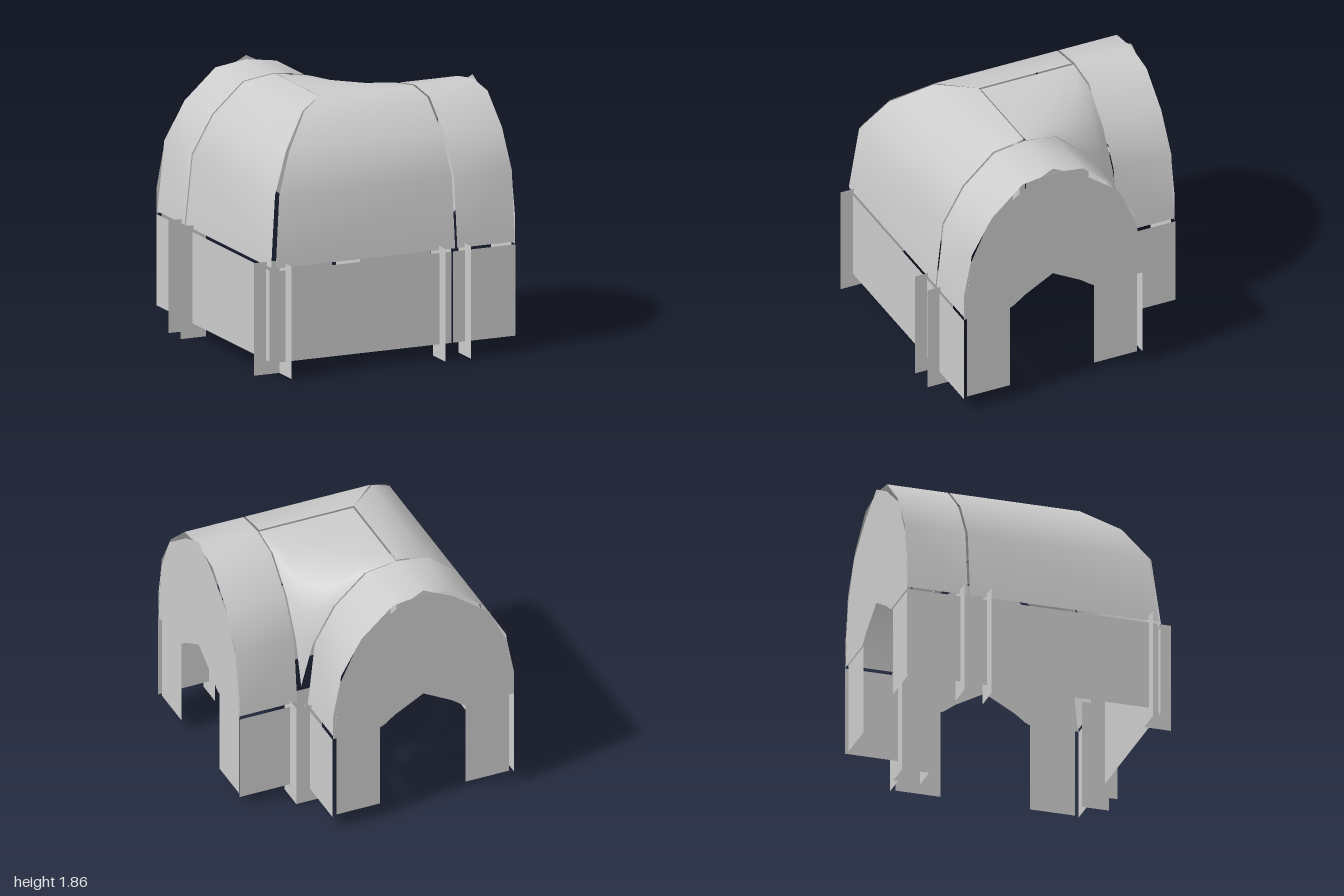
import * as THREE from 'three';

const material = new THREE.MeshStandardMaterial({ color: 0xcccccc, side: THREE.DoubleSide });
const AXIS = 0.205;   // distance of each vault's ridge line from the centre

// Half profile of the vault, from ridge to eave: [offset from ridge, height]
const PROFILE = [[0, 1.825], [0.24, 1.79], [0.48, 1.575], [0.64, 1.3], [0.695, 0.79]];

function add(parent, name, geometry) {
  const mesh = new THREE.Mesh(geometry, material);
  mesh.name = name;
  parent.add(mesh);
  return mesh;
}

// Surface through rows of points, all rows of equal length
function loft(rows) {
  const n = rows[0].length, index = [];
  for (let i = 0; i < rows.length - 1; i++) {
    for (let j = 0; j < n - 1; j++) {
      const a = i * n + j, b = a + n;
      index.push(a, a + 1, b, b, a + 1, b + 1);
    }
  }
  const geometry = new THREE.BufferGeometry();
  geometry.setAttribute('position', new THREE.Float32BufferAttribute(rows.flat(2), 3));
  geometry.setIndex(index);
  geometry.computeVertexNormals();
  return geometry;
}

// Upright panel facing z, from x0 to x1
function panelX(parent, name, x0, x1, y0, y1, z) {
  const mesh = add(parent, name, new THREE.PlaneGeometry(x1 - x0, y1 - y0));
  mesh.position.set((x0 + x1) / 2, (y0 + y1) / 2, z);
}

// Upright panel facing x, from z0 to z1
function panelZ(parent, name, z0, z1, y0, y1, x) {
  const mesh = add(parent, name, new THREE.PlaneGeometry(z1 - z0, y1 - y0));
  mesh.rotation.y = Math.PI / 2;
  mesh.position.set(x, (y0 + y1) / 2, (z0 + z1) / 2);
}

// Post made of thin plates round a square; sides lists the plates present
function post(parent, name, x, z, sides) {
  const group = new THREE.Group();
  group.name = name;
  const r = 0.1, top = 0.82;
  for (const side of sides) {
    const at = side[0] === '+' ? r : -r;
    const panel = side[1] === 'x' ? panelZ : panelX;
    panel(group, 'postPlate', -r, r, 0, top, at);
  }
  group.position.set(x, 0, z);
  parent.add(group);
}

// Pointed upper end wall with the door arch cut from its lower edge
function gableGeometry() {
  const right = [[0.23, 1.74], [0.51, 1.53], [0.65, 1.23], [0.7, 0.97], [0.7, 0.775],
    [0.33, 0.775], [0.3, 0.79], [0.22, 0.85]];
  const left = right.map(([x, y]) => [-x, y]).reverse();
  const outline = [[0, 1.855], ...right, [0, 0.97], ...left];
  return new THREE.ShapeGeometry(new THREE.Shape(outline.map(([x, y]) => new THREE.Vector2(x, y))));
}

// One wing running towards +x
function buildWing(name) {
  const wing = new THREE.Group();
  wing.name = name;

  // Full vault at the end of the wing
  const across = [...PROFILE.slice(1).reverse().map(([d, y]) => [-d, y]), ...PROFILE];
  add(wing, 'endVault', loft([0.547, 1].map(x => across.map(([d, y]) => [x, y, AXIS + d]))));

  // Outer half vault, mitred at the corner
  add(wing, 'outerVault', loft([
    PROFILE.map(([d, y]) => [-AXIS - 0.965 * d, y, AXIS + d]),
    PROFILE.map(([d, y]) => [0.53, y, AXIS + d]),
  ]));

  // End wall: gable above, a jamb on each side of the doorway
  const gable = add(wing, 'gable', gableGeometry());
  gable.rotation.y = -Math.PI / 2;
  gable.position.set(0.998, 0, AXIS);
  for (const s of [-1, 1]) {
    const centre = AXIS + s * 0.5;
    panelZ(wing, 'doorJamb', centre - 0.168, centre + 0.168, 0.11, 0.78, 0.985);
  }

  // Side walls
  panelX(wing, 'longWall', -0.855, 0.5, 0.105, 0.77, 0.905);
  panelX(wing, 'outerEndWall', 0.51, 1, 0.105, 0.77, 0.905);
  panelX(wing, 'innerWall', 0.51, 1, 0.105, 0.77, -0.5);

  // Pair of fins where the long wall meets the end section
  post(wing, 'sidePost', 0.505, 0.9, ['+x', '-x']);
  return wing;
}

// Roof patch over the inner corner: flat by the ridges, falling to the valley corner
function valleyGeometry() {
  const drops = [[0, 0], [0.24, 0.035], [0.48, 0.255], [0.64, 0.535], [0.73, 0.87]];
  const rows = drops.map(([dx, fx]) => drops.map(([dz, fz]) =>
    [-AXIS + 0.012 + dx, 1.82 - fx * fz / 0.87, AXIS - 0.012 - dz]));
  return loft(rows);
}

export function createModel() {
  const model = new THREE.Group();
  model.name = 'vaultedCornerBuilding';

  // Two wings, mirrored across the diagonal
  model.add(buildWing('sideWing'));
  const back = buildWing('backWing');
  back.scale.z = -1;
  back.rotation.y = Math.PI / 2;
  model.add(back);

  add(model, 'valleyRoof', valleyGeometry());
  post(model, 'outerCornerPost', -0.9, 0.9, ['+x', '-z']);
  post(model, 'innerCornerPost', 0.505, -0.505, ['+x', '-x', '+z', '-z']);
  return model;
}
